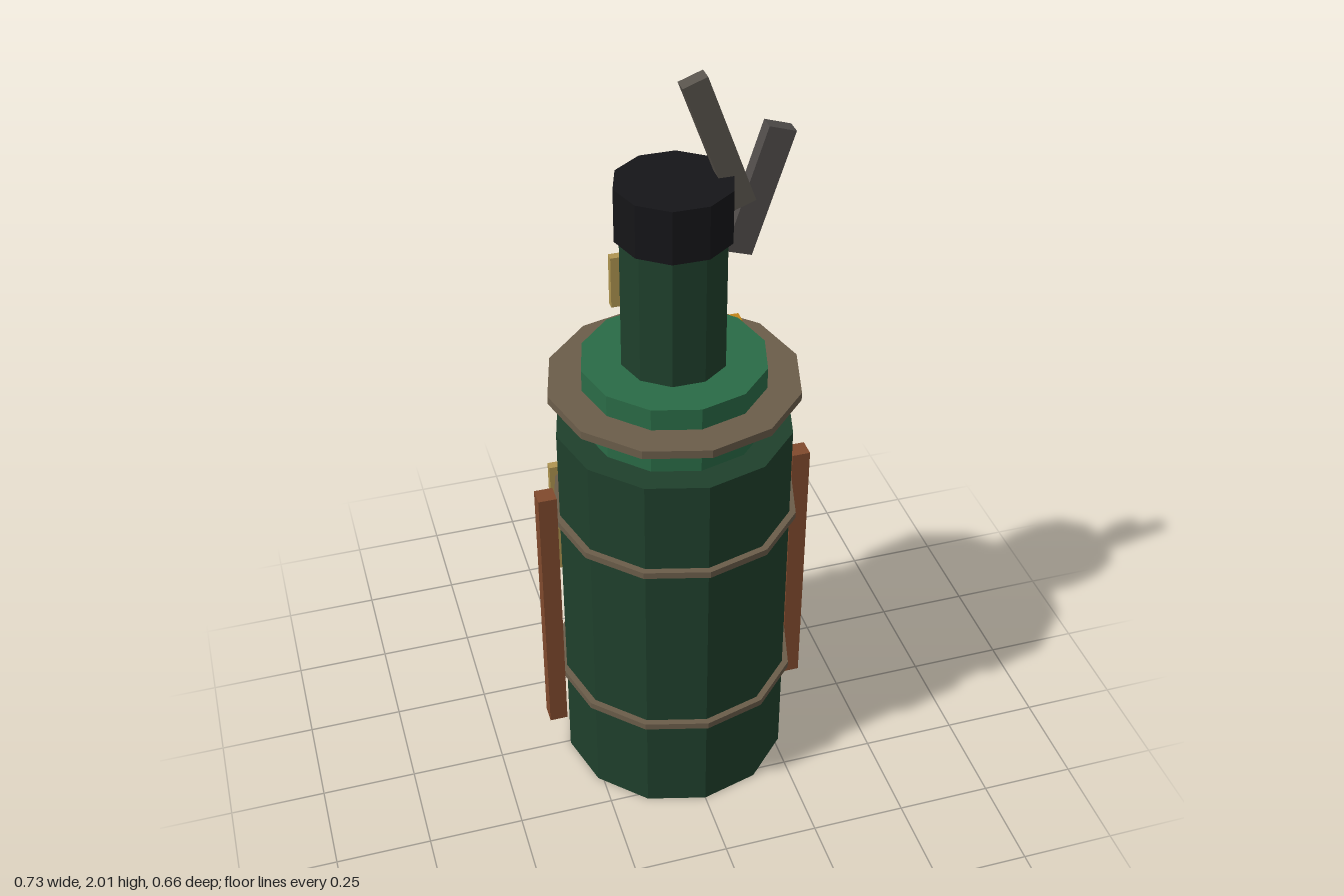
import * as THREE from 'three';

const Z = 0.008; // axis of the canister

export function createModel() {
  const group = new THREE.Group();
  group.name = 'canister';
  const mats = {};
  const mat = (color) => (mats[color] ??= new THREE.MeshStandardMaterial({ color, flatShading: true }));

  const add = (name, geometry, color, x, y, z, tilt = 0) => {
    const mesh = new THREE.Mesh(geometry, mat(color));
    mesh.name = name;
    mesh.position.set(x, y, z);
    mesh.rotation.z = tilt;
    group.add(mesh);
    return mesh;
  };
  // Upright faceted drum between two heights
  const drum = (name, r, y0, y1, sides, color) => {
    const g = new THREE.CylinderGeometry(r, r, y1 - y0, sides);
    g.rotateY(Math.PI / 2); // a corner on the x axis
    return add(name, g, color, 0, (y0 + y1) / 2, Z);
  };
  const box = (name, size, color, pos, tilt) =>
    add(name, new THREE.BoxGeometry(...size), color, ...pos, tilt);

  // Stacked drums
  drum('body', 0.304, 0, 1.083, 12, 0x1f402c);
  drum('shoulder', 0.235, 1.083, 1.265, 12, 0x2a6b46);
  drum('neck', 0.134, 1.265, 1.612, 10, 0x1f402c);
  drum('cap', 0.146, 1.612, 1.75, 10, 0x151518);

  // Bands round the body and shoulder
  for (const [name, y, h] of [['lowerBand', 0.295, 0.018], ['upperBand', 0.822, 0.018], ['shoulderFlange', 1.196, 0.022]]) {
    drum(name, 0.321, y - h / 2, y + h / 2, 12, 0x6b5d4a);
  }

  // Side rails
  for (const s of [-1, 1]) {
    box(s > 0 ? 'leftRail' : 'rightRail', [0.048, 0.775, 0.048], 0x804a2d, [s * 0.339, 0.517, Z]);
  }

  // Back label with its slanted stripe, and the small neck label
  box('backLabel', [0.527, 0.36, 0.024], 0xae9450, [0, 0.572, -0.302]);
  box('labelStripe', [0.47, 0.05, 0.034], 0x82221a, [0, 0.575, -0.316], -0.128);
  box('neckLabel', [0.247, 0.14, 0.022], 0xae9450, [0, 1.42, -0.128]);

  // Shoulder stud
  box('stud', [0.08, 0.072, 0.034], 0xc0841a, [0.179, 1.213, -0.136]);

  // Forked lever at the cap
  box('leverLong', [0.063, 0.35, 0.039], 0x58534c, [0.104, 1.832, Z], 0.354);
  box('leverShort', [0.07, 0.328, 0.039], 0x504c4a, [0.204, 1.698, Z], -0.311);

  return group;
}
